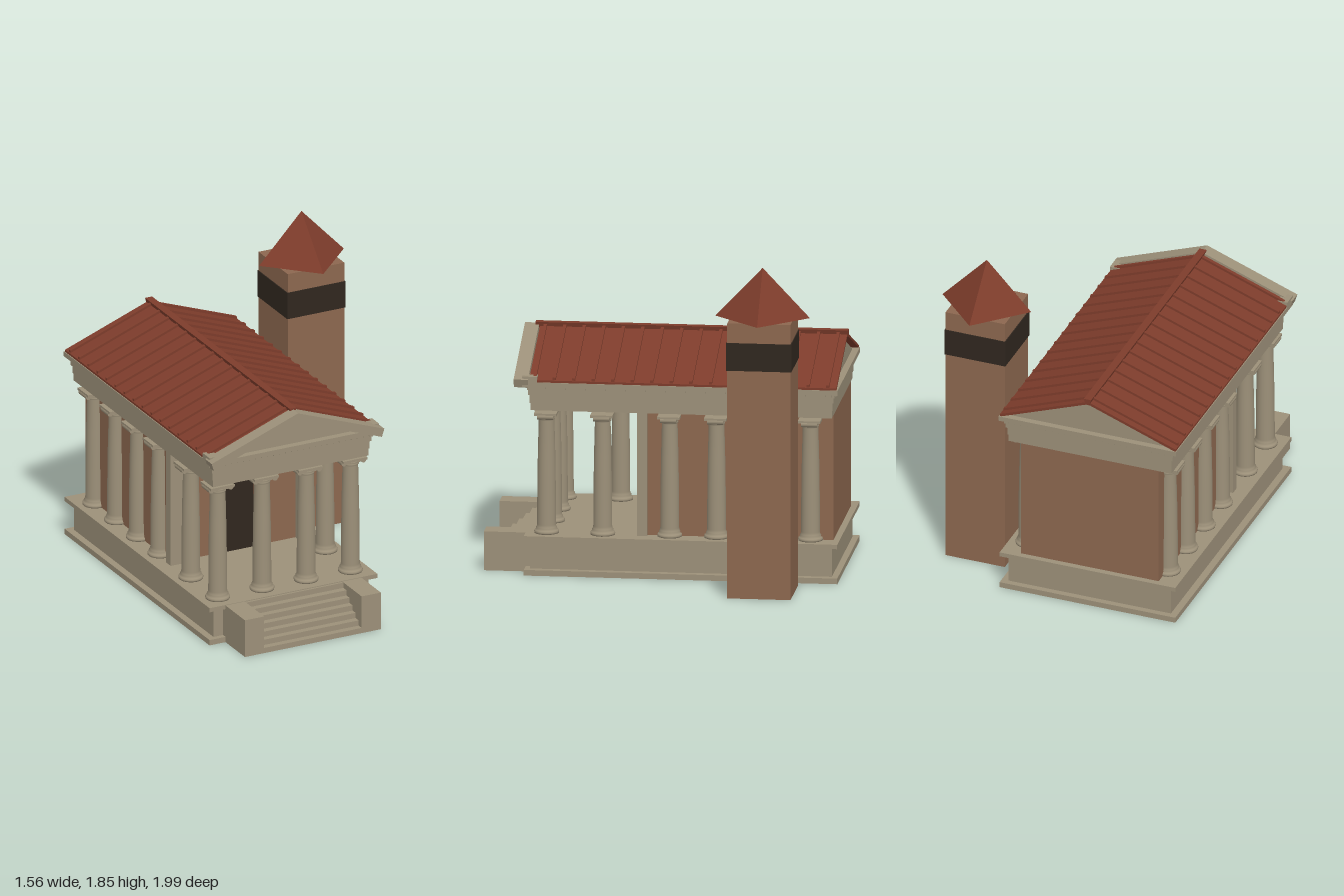
import * as THREE from 'three';

const CX = -0.245; // temple axis
const mat = (color, extra = {}) => new THREE.MeshStandardMaterial({ color, ...extra });

export function createModel() {
  const root = new THREE.Group();
  const stone = mat(0x9c9079), brick = mat(0x8c674f), tile = mat(0x7d3c2b);
  const tileFlat = mat(0x7d3c2b, { flatShading: true }), dark = mat(0x30271f);
  const temple = new THREE.Group();
  temple.name = 'temple';
  temple.position.x = CX;
  root.add(temple);

  const add = (name, geo, m, x = 0, y = 0, z = 0, parent = temple) => {
    const mesh = new THREE.Mesh(geo, m);
    mesh.name = name;
    mesh.position.set(x, y, z);
    parent.add(mesh);
    return mesh;
  };
  // box from its extents
  const block = (name, m, x0, x1, y0, y1, z0, z1, parent = temple) =>
    add(name, new THREE.BoxGeometry(x1 - x0, y1 - y0, z1 - z0), m,
      (x0 + x1) / 2, (y0 + y1) / 2, (z0 + z1) / 2, parent);
  // polygon in the front plane, extruded between two depths
  const slab = (name, m, pts, z0, z1) =>
    add(name, new THREE.ExtrudeGeometry(new THREE.Shape(pts.map(p => new THREE.Vector2(...p))),
      { depth: z1 - z0, bevelEnabled: false }), m, 0, 0, z0);

  // podium: stacked layers
  block('podiumFoot', stone, -0.525, 0.525, 0, 0.032, -0.99, 0.765);
  block('podiumBody', stone, -0.485, 0.485, 0.032, 0.2, -0.955, 0.735);
  block('podiumTop', stone, -0.525, 0.525, 0.2, 0.225, -0.99, 0.765);

  // front stairs between two cheek blocks
  const steps = 7;
  for (let i = 0; i < steps; i++)
    block('step', stone, -0.31, 0.31, 0.22 * i / steps, 0.22 * (i + 1) / steps, 0.72, 1 - i * 0.037);
  for (const s of [-1, 1])
    block('stairCheek', stone, s * 0.365 - 0.06, s * 0.365 + 0.06, 0, 0.222, 0.72, 1);

  // cella walls, door and corner pilasters
  block('cella', brick, -0.412, 0.412, 0.225, 0.94, -0.955, 0.1);
  block('door', dark, -0.09, 0.09, 0.225, 0.665, 0.08, 0.106);
  for (const s of [-1, 1])
    block('pilaster', stone, s * 0.4 - 0.045, s * 0.4 + 0.045, 0.225, 0.94, 0.085, 0.14);

  // column: turned base and shaft, scrolled capital
  const profile = [[0, 0], [0.068, 0], [0.07, 0.009], [0.066, 0.018], [0.058, 0.022], [0.06, 0.03],
    [0.055, 0.036], [0.053, 0.05], [0.052, 0.25], [0.049, 0.45], [0.044, 0.645], [0.048, 0.65],
    [0.048, 0.658], [0.044, 0.662], [0.05, 0.675], [0, 0.675]].map(p => new THREE.Vector2(...p));
  const shaftGeo = new THREE.LatheGeometry(profile, 20);
  const scrollGeo = new THREE.CylinderGeometry(0.017, 0.017, 0.09, 14).rotateX(Math.PI / 2);
  const abacusGeo = new THREE.BoxGeometry(0.15, 0.014, 0.125);
  const cushionGeo = new THREE.BoxGeometry(0.12, 0.018, 0.085);
  const column = (x, z) => {
    const g = new THREE.Group();
    g.name = 'column';
    g.position.set(x, 0.225, z);
    add('shaft', shaftGeo, stone, 0, 0, 0, g);
    add('cushion', cushionGeo, stone, 0, 0.674, 0, g);
    add('abacus', abacusGeo, stone, 0, 0.687, 0, g);
    for (const s of [-1, 1]) add('scroll', scrollGeo, stone, s * 0.061, 0.674, 0, g);
    temple.add(g);
  };
  for (const x of [-0.415, -0.138, 0.138, 0.415]) column(x, 0.65);
  for (const z of [0.335, -0.04, -0.302, -0.565, -0.828])
    for (const s of [-1, 1]) column(s * 0.42, z);

  // entablature: [half width, bottom, top, back, front]
  for (const [w, y0, y1, z0, z1] of [
    [0.487, 0.937, 0.98, -0.955, 0.732], [0.491, 0.98, 1.027, -0.96, 0.736],
    [0.499, 1.027, 1.055, -0.967, 0.744], [0.505, 1.055, 1.078, -0.973, 0.75],
    [0.53, 1.078, 1.106, -0.992, 0.775]])
    block('entablature', stone, -w, w, y0, y1, z0, z1);
  // small dentils under the cornice
  const dentilGeo = new THREE.BoxGeometry(0.016, 0.012, 0.016);
  for (let i = 0; i < 46; i++)
    for (const s of [-1, 1]) add('dentil', dentilGeo, stone, s * 0.507, 1.071, -0.95 + i * 0.0373);
  for (let i = 0; i < 27; i++)
    for (const z of [-0.975, 0.752]) add('dentil', dentilGeo, stone, -0.485 + i * 0.0373, 1.071, z);

  // gables and raking cornice on the front
  const gable = [[-0.49, 1.1], [0.49, 1.1], [0, 1.288]];
  slab('frontGable', stone, gable, 0.68, 0.735);
  slab('backGable', stone, gable, -0.955, -0.9);
  slab('rakingCornice', stone, [[-0.525, 1.075], [0, 1.27], [0.525, 1.075], [0.54, 1.122],
    [0, 1.322], [-0.54, 1.122]], 0.74, 0.82);
  slab('rakingFillet', stone, [[-0.46, 1.104], [-0.4, 1.104], [0, 1.252], [0.4, 1.104], [0.46, 1.104],
    [0, 1.275]], 0.735, 0.765);
  for (const s of [-1, 1])
    block('corniceReturn', stone, s * 0.49 - 0.04, s * 0.49 + 0.04, 1.1, 1.138, 0.69, 0.775);

  // tiled roof: chevron slab, cross ribs and ridge cap
  const chevron = (w, e, p, t) => [[-w, e - t], [0, p - t], [w, e - t], [w, e], [0, p], [-w, e]];
  slab('roof', tile, chevron(0.525, 1.118, 1.312, 0.016), -0.985, 0.735);
  for (let i = 0; i < 16; i++) {
    const z = -0.935 + i * 0.1093;
    slab('roofRib', tile, chevron(0.52, 1.134, 1.326, 0.02), z - 0.009, z + 0.009);
  }
  slab('ridgeCap', tile, [[-0.012, 1.295], [0.012, 1.295], [0.022, 1.33], [-0.022, 1.33]], -0.99, 0.76);

  // tower beside the temple with a turned pyramid roof
  const tower = new THREE.Group();
  tower.name = 'tower';
  tower.position.set(0.51, 0, -0.6);
  root.add(tower);
  block('towerShaft', brick, -0.177, 0.177, 0, 1.572, -0.177, 0.177, tower);
  block('towerBand', dark, -0.182, 0.182, 1.302, 1.46, -0.182, 0.182, tower);
  add('towerRoof', new THREE.ConeGeometry(0.265, 0.28, 4), tileFlat, 0, 1.712, 0, tower);

  return root;
}
